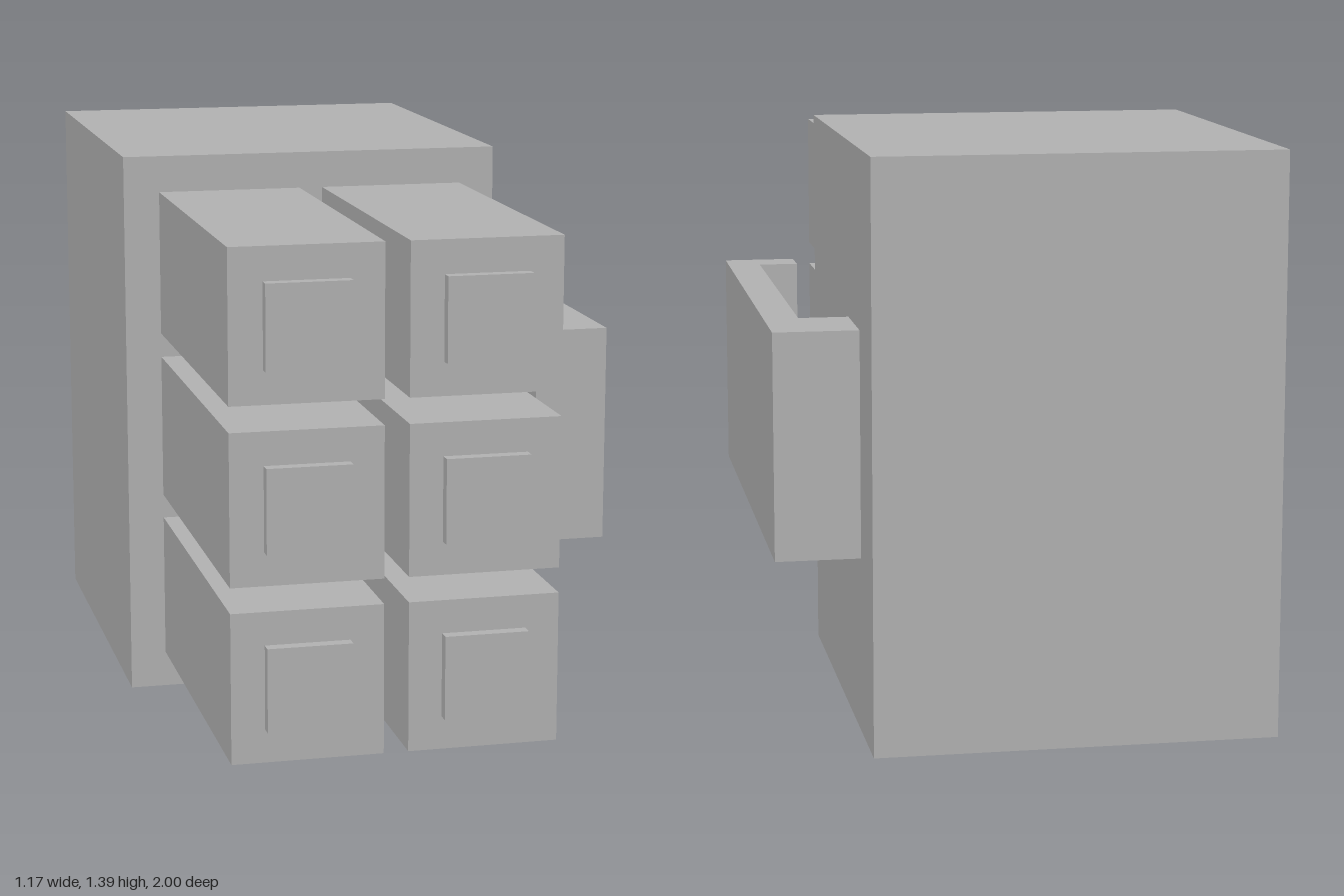
import * as THREE from 'three';

export function createModel() {
  const model = new THREE.Group();
  model.name = 'connectorPlug';
  const grey = new THREE.MeshStandardMaterial({ color: 0xb2b2b2 });
  grey.name = 'plastic grey';

  // Box given by its minimum and maximum corners
  function addBox(name, min, max) {
    const size = max.map((v, i) => v - min[i]);
    const mesh = new THREE.Mesh(new THREE.BoxGeometry(...size), grey);
    mesh.position.set(...max.map((v, i) => (v + min[i]) / 2));
    mesh.name = name;
    model.add(mesh);
  }

  // Main housing
  addBox('housing', [-0.583, 0, -1], [0.38, 1.39, 0.07]);

  // Two columns of three square prongs, each with a small raised contact
  const half = 0.181, tip = 0.101;
  for (const x of [-0.312, 0.109]) {
    for (const y of [0.272, 0.695, 1.118]) {
      addBox('prong', [x - half, y - half, 0.07], [x + half, y + half, 0.97]);
      addBox('contact', [x - tip, y - tip, 0.97], [x + tip, y + tip, 1]);
    }
  }

  // Side latch: foot on the housing, long arm and inward hook
  // (outline points are x and -z, extruded upwards)
  const outline = [
    [0.38, 0.8], [0.38, 0.6], [0.5, 0.6], [0.5, -0.315],
    [0.4, -0.315], [0.4, -0.413], [0.583, -0.413], [0.583, 0.8],
  ].map(([x, y]) => new THREE.Vector2(x, y));
  const latchGeometry = new THREE.ExtrudeGeometry(new THREE.Shape(outline), {
    depth: 0.543, bevelEnabled: false,
  });
  latchGeometry.rotateX(-Math.PI / 2);
  const latch = new THREE.Mesh(latchGeometry, grey);
  latch.position.y = 0.425;
  latch.name = 'latch';
  model.add(latch);

  return model;
}
